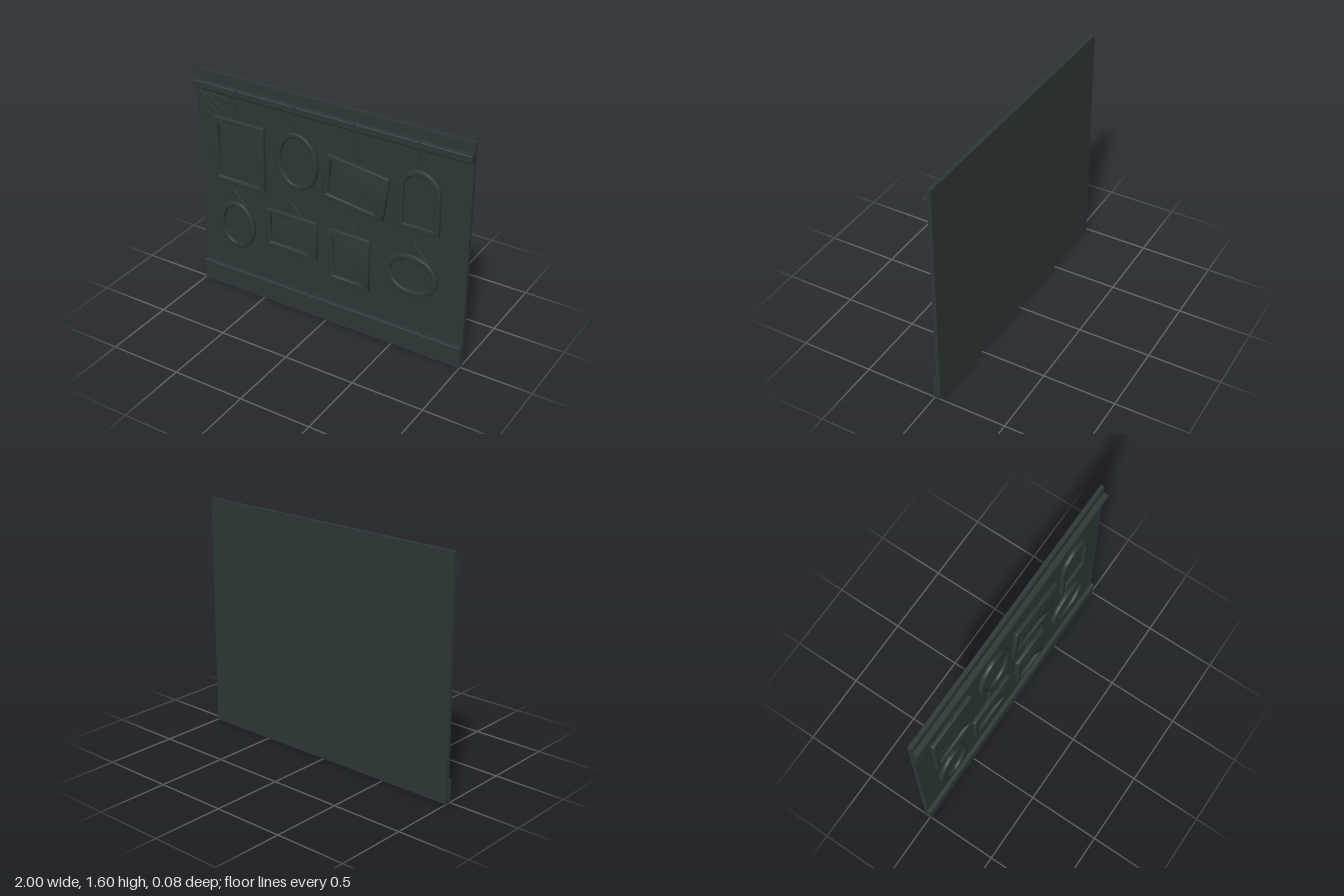
import * as THREE from 'three';
import { toCreasedNormals } from 'three/addons/utils/BufferGeometryUtils.js';

export function createModel() {
  const root = new THREE.Group();
  const charcoal = new THREE.MeshStandardMaterial({ color: 0x2d3636 });
  charcoal.name = 'charcoal';

  const add = (name, geo, parent = root, x = 0, y = 0, z = 0) => {
    const m = new THREE.Mesh(geo, charcoal);
    m.name = name;
    m.position.set(x, y, z);
    parent.add(m);
    return m;
  };
  const V = (x, y, z) => new THREE.Vector3(x, y, z);
  const tube = (name, pts, r, parent = root, n = 12) =>
    add(name, new THREE.TubeGeometry(new THREE.CatmullRomCurve3(pts), n, r, 6), parent);
  const poly = (pts) => new THREE.Shape(pts.map(([x, y]) => new THREE.Vector2(x, y)));

  // Wall panel
  add('wall', new THREE.BoxGeometry(2, 1.6, 0.027), root, 0, 0.8, -0.0265);

  // Mouldings: [z, y] profile swept along x
  const moulding = (name, profile) => {
    const geo = new THREE.ExtrudeGeometry(poly(profile.map(([z, y]) => [-z, y])), { depth: 2, bevelEnabled: false });
    geo.rotateY(Math.PI / 2).translate(-1, 0, 0);
    add(name, geo);
  };
  moulding('skirtingBoard', [[-0.013, 0], [0.01, 0], [0.01, 0.135], [-0.013, 0.135]]);
  moulding('skirtingCap', [[-0.013, 0.135], [0.015, 0.135], [0.015, 0.147], [0.012, 0.151], [-0.013, 0.151]]);
  moulding('pictureRail', [[-0.013, 1.47], [0.013, 1.47], [0.018, 1.48], [0.018, 1.513], [-0.013, 1.513]]);
  moulding('pictureRailCap', [[-0.013, 1.513], [0.023, 1.513], [0.023, 1.522], [0.019, 1.527], [-0.013, 1.527]]);

  // Frame outlines, shrunk by an inset
  const outline = (kind, w, h, inset) => {
    const a = w / 2 - inset, b = h / 2 - inset;
    const s = new THREE.Shape();
    if (kind === 'oval') {
      s.absellipse(0, 0, a, b, 0, Math.PI * 2, false, 0);
    } else if (kind === 'arch') {
      s.moveTo(-a, -b);
      s.lineTo(a, -b);
      s.lineTo(a, b - a);
      s.absarc(0, b - a, a, 0, Math.PI, false);
      s.lineTo(-a, -b);
    } else {
      const r = inset ? 0.002 : 0.01;
      s.moveTo(-a + r, -b);
      s.lineTo(a - r, -b);
      s.quadraticCurveTo(a, -b, a, -b + r);
      s.lineTo(a, b - r);
      s.quadraticCurveTo(a, b, a - r, b);
      s.lineTo(-a + r, b);
      s.quadraticCurveTo(-a, b, -a, b - r);
      s.lineTo(-a, -b + r);
      s.quadraticCurveTo(-a, -b, -a + r, -b);
    }
    return s;
  };

  // Frame with rounded rails and a backing canvas
  const border = 0.038, canvasZ = 0.004;
  const picture = (name, kind, x, y, w, h, tilt = 0) => {
    const g = new THREE.Group();
    g.name = name;
    g.position.set(x, y, 0);
    g.rotation.z = tilt;
    root.add(g);
    const shape = outline(kind, w, h, 0);
    shape.holes.push(new THREE.Path(outline(kind, w, h, border).getPoints(24)));
    const b = 0.009;
    const geo = new THREE.ExtrudeGeometry(shape, {
      depth: 0.031 - 2 * b, bevelThickness: b, bevelSize: b, bevelOffset: -b, bevelSegments: 4, curveSegments: 24,
    });
    add('frame', toCreasedNormals(geo, 0.6), g, 0, 0, -0.006 + b);
    add('canvas', new THREE.ExtrudeGeometry(outline(kind, w, h, border * 0.6),
      { depth: canvasZ + 0.004, bevelEnabled: false, curveSegments: 24 }), g, 0, 0, -0.004);
    return g;
  };

  // Painted details: very thin plates on a canvas
  const plate = (g, name, shape, x = 0, y = 0) =>
    add(name, new THREE.ExtrudeGeometry(shape, { depth: 0.0012, bevelEnabled: false }), g, x, y, canvasZ);
  const disc = (rx, ry = rx) => new THREE.Shape().absellipse(0, 0, rx, ry, 0, Math.PI * 2, false, 0);
  const box = (w, h) => poly([[-w / 2, 0], [w / 2, 0], [w / 2, h], [-w / 2, h]]);
  const bust = (g, s, y) => {
    plate(g, 'paintedHead', disc(0.035 * s, 0.043 * s), 0, y);
    plate(g, 'paintedShoulders', poly([[-0.07, -0.12], [0.07, -0.12], [0.055, -0.07], [0.018, -0.048],
      [-0.018, -0.048], [-0.055, -0.07]].map(([a, c]) => [a * s, c * s])), 0, y);
  };

  const tree = picture('treePicture', 'rect', -0.667, 1.072, 0.395, 0.475);
  plate(tree, 'paintedHill', poly([[-0.158, -0.19], [0.158, -0.19], [0.158, -0.14], [0.06, -0.115], [-0.05, -0.09], [-0.158, -0.105]]));
  plate(tree, 'paintedTrunk', box(0.012, 0.14), 0.06, -0.1);
  plate(tree, 'paintedCrown', disc(0.042), 0.055, 0.083);

  bust(picture('portraitOval', 'oval', -0.22, 1.14, 0.318, 0.408), 1, 0.02);

  const town = picture('crookedPicture', 'rect', 0.213, 1.083, 0.453, 0.322, -0.125);
  [[-0.12, 0.06], [-0.05, 0.1], [0.03, 0.07], [0.1, 0.12]].forEach(([x, h]) => {
    plate(town, 'paintedHouse', poly([[-0.025, 0], [0.025, 0], [0.025, h * 0.7], [0, h], [-0.025, h * 0.7]]), x, -0.09);
  });

  const arch = picture('archedPicture', 'arch', 0.665, 1.122, 0.29, 0.425);
  plate(arch, 'paintedStem', box(0.008, 0.17), 0, -0.09);
  for (const s of [-1, 1]) for (const y of [-0.01, 0.03]) {
    const leaf = plate(arch, 'paintedBranch', box(0.006, 0.06), 0, y);
    leaf.rotation.z = -0.6 * s;
  }

  const flower = picture('flowerOval', 'oval', -0.708, 0.521, 0.288, 0.352);
  plate(flower, 'paintedStem', box(0.008, 0.1), 0.008, -0.1);
  [[-0.03, 0.04], [0.01, 0.06], [0.045, 0.035]].forEach(([x, y]) => plate(flower, 'paintedBloom', disc(0.018), x, y));

  const land = picture('landscapePicture', 'rect', -0.268, 0.59, 0.396, 0.29);
  plate(land, 'paintedHills', poly([[-0.158, -0.105], [0.158, -0.105], [0.158, -0.035], [0.08, -0.02], [0, -0.045], [-0.08, -0.05], [-0.158, -0.06]]));

  const figure = picture('figurePicture', 'rect', 0.172, 0.538, 0.305, 0.386);
  plate(figure, 'paintedHead', disc(0.022, 0.026), 0, 0.065);
  plate(figure, 'paintedBody', poly([[-0.035, -0.11], [0.035, -0.11], [0.022, 0.02], [0.012, 0.037], [-0.012, 0.037], [-0.022, 0.02]]));

  const lake = picture('lakeOval', 'oval', 0.628, 0.577, 0.37, 0.302);
  plate(lake, 'paintedShore', poly([[-0.13, -0.03], [-0.06, -0.075], [0.06, -0.075], [0.13, -0.03], [0.14, 0.012], [0.02, 0.005], [-0.06, 0.025], [-0.135, 0.01]]));

  // Rail hooks with a single cord to each upper picture
  [[-0.667, -0.667, 1.305], [-0.222, -0.222, 1.338], [0.211, 0.23, 1.245], [0.663, 0.663, 1.33]].forEach(([x, ex, ey]) => {
    tube('railHook', [V(x, 1.515, 0.02), V(x, 1.528, 0.026), V(x, 1.533, 0.035), V(x, 1.505, 0.037), V(x, 1.475, 0.034)], 0.004);
    tube('hangingCord', [V(x, 1.48, 0.034), V((x + ex) / 2, (1.48 + ey) / 2, 0.024), V(ex, ey - 0.005, 0.012)], 0.0028);
  });

  // Nails with a forked cord for the lower pictures
  [[-0.727, 0.775, -0.807, -0.636, 0.682], [-0.267, 0.808, -0.353, -0.176, 0.733],
    [0.17, 0.805, 0.1, 0.25, 0.728], [0.636, 0.798, 0.524, 0.75, 0.704]].forEach(([x, y, l, r, ey]) => {
    const nail = new THREE.CylinderGeometry(0.006, 0.006, 0.018, 10).rotateX(Math.PI / 2);
    add('nail', nail, root, x, y, -0.006);
    for (const ex of [l, r]) tube('forkedCord', [V(x, y + 0.006, 0), V(ex, ey, 0.011)], 0.0032, root, 2);
  });

  // Cobweb in the upper corner: spokes and sagging rings
  const web = new THREE.Group();
  web.name = 'cobweb';
  root.add(web);
  const spokes = [[0, 0.22], [-0.2, 0.25], [-0.5, 0.23], [-0.8, 0.2], [-1.05, 0.22], [-1.32, 0.235], [-1.57, 0.2]];
  const at = ([a, len], t) => V(-0.995 + Math.cos(a) * len * t, 1.468 + Math.sin(a) * len * t, -0.01);
  spokes.forEach((s, i) => {
    tube('webSpoke', [at(s, 0), at(s, 1)], 0.0022, web, 1);
    const next = spokes[i + 1];
    if (next) for (const t of [0.25, 0.45, 0.65, 0.85]) {
      const mid = at([(s[0] + next[0]) / 2, (s[1] + next[1]) / 2], t * 0.86);
      tube('webRing', [at(s, t), mid, at(next, t)], 0.0018, web, 6);
    }
  });

  return root;
}
